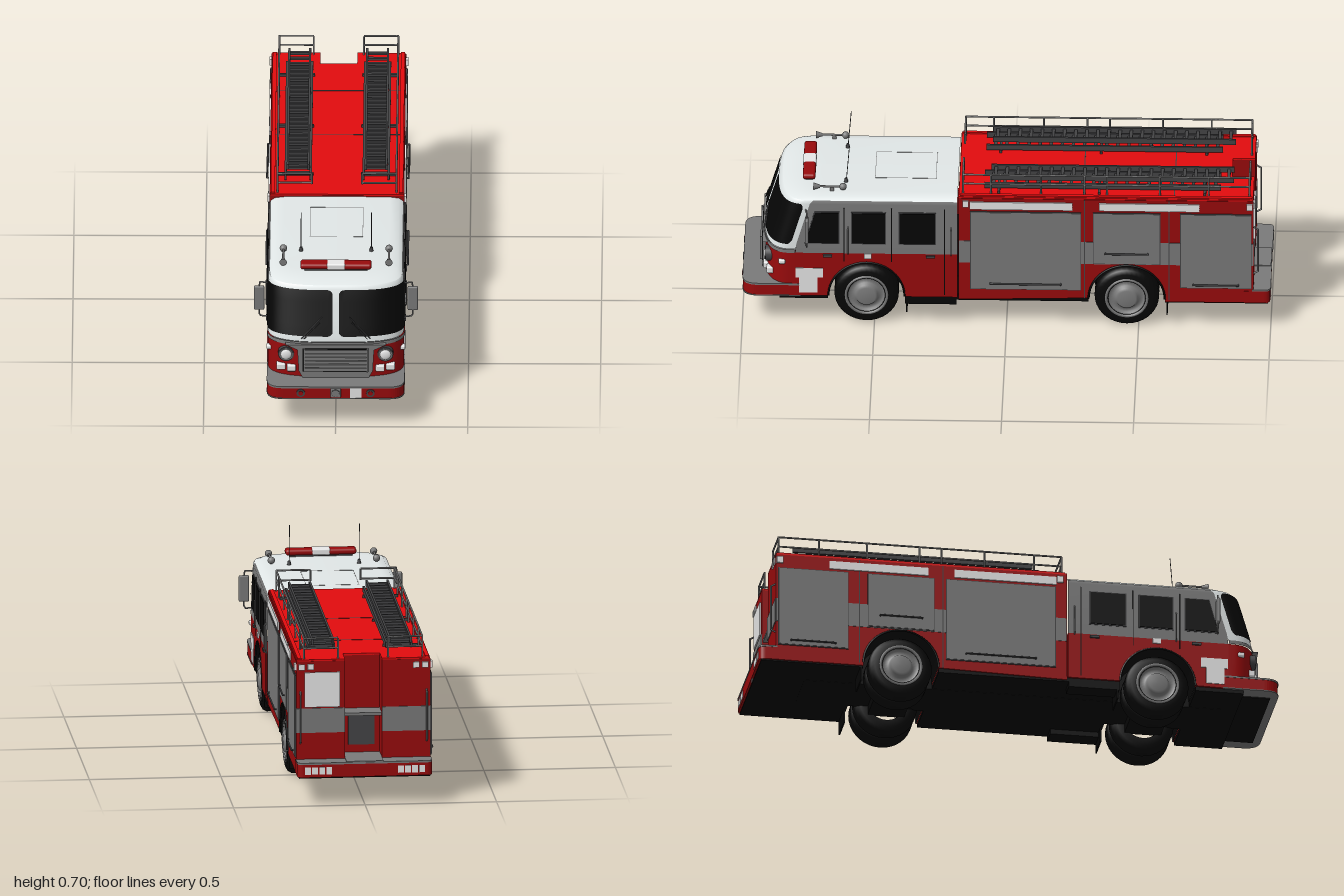
import * as THREE from 'three';
import { RoundedBoxGeometry } from 'three/addons/geometries/RoundedBoxGeometry.js';

const mat = (name, color) => Object.assign(new THREE.MeshStandardMaterial({ color }), { name });

export function createModel() {
  const root = new THREE.Group();
  const red = mat('fire red', 0x980a0c), roofRed = mat('bright roof red', 0xe20c0e), white = mat('white', 0xe8eeee);
  const grey = mat('metal grey', 0x7a7a7a), dark = mat('dark grey', 0x444446), black = mat('black', 0x060606);
  const lamp = mat('lamp white', 0xf0f0f0), well = mat('wheel well black', 0x070707);
  well.side = THREE.DoubleSide;

  // ---- helpers ----
  const add = (name, geo, m, x = 0, y = 0, z = 0) => {
    const mesh = new THREE.Mesh(geo, m);
    mesh.name = name;
    mesh.position.set(x, y, z);
    root.add(mesh);
    return mesh;
  };
  // box given by its limits
  const box = (name, m, x0, x1, y0, y1, z0, z1) => add(name,
    new THREE.BoxGeometry(Math.abs(x1 - x0), y1 - y0, Math.abs(z1 - z0)), m, (x0 + x1) / 2, (y0 + y1) / 2, (z0 + z1) / 2);
  // straight rods joined by balls
  const tube = (name, m, r, pts) => {
    const v = pts.map(p => new THREE.Vector3(...p));
    for (let i = 1; i < v.length; i++) {
      add(name, new THREE.TubeGeometry(new THREE.LineCurve3(v[i - 1], v[i]), 1, r, 8), m);
      if (i < v.length - 1) add(name + 'Joint', new THREE.SphereGeometry(r, 8, 6), m, ...pts[i]);
    }
  };
  const disc = (name, m, r, d, x, y, z) =>
    add(name, new THREE.CylinderGeometry(r, r, d, 24).rotateX(Math.PI / 2), m, x, y, z);
  const lin = (a, b, n) => Array.from({ length: n + 1 }, (_, i) => a + (b - a) * i / n);
  // grid surface through f(u, v)
  const patch = (name, m, us, vs, f) => {
    const pos = [], idx = [], n = us.length;
    vs.forEach((v, j) => us.forEach((u, i) => {
      pos.push(...f(u, v));
      if (i && j) {
        const d = j * n + i, c = d - 1, b = d - n, a = b - 1;
        idx.push(a, b, d, a, d, c);
      }
    }));
    const g = new THREE.BufferGeometry();
    g.setAttribute('position', new THREE.Float32BufferAttribute(pos, 3));
    g.setIndex(idx);
    g.computeVertexNormals();
    return add(name, g, m);
  };
  // side outline in (z, y) with a wheel arch, extruded across x
  const sidePanel = (name, m, x0, x1, z0, z1, y0, y1, arch) => {
    const s = new THREE.Shape();
    s.moveTo(z0, y0);
    s.lineTo(arch - 0.145, y0);
    s.absarc(arch, 0.122, 0.145, Math.PI, 0, true);
    s.lineTo(z1, y0); s.lineTo(z1, y1); s.lineTo(z0, y1);
    const g = new THREE.ExtrudeGeometry(s, { depth: x1 - x0, bevelEnabled: false, curveSegments: 24 });
    add(name, g.rotateY(-Math.PI / 2), m, x1);
  };

  // ---- cab shell: rows of height, front z, half width ----
  const rows = [[0.12, 0.92, 0.258], [0.31, 0.92, 0.258], [0.345, 0.915, 0.258], [0.515, 0.865, 0.256],
    [0.528, 0.852, 0.251], [0.54, 0.82, 0.235], [0.545, 0.77, 0.2], [0.547, 0.7, 0]];
  const cab = (off = 0) => (u, y) => {
    let k = 1;
    while (k < rows.length - 1 && y > rows[k][0]) k++;
    const [a, b] = [rows[k - 1], rows[k]], t = (y - a[0]) / (b[0] - a[0]);
    const zf = a[1] + (b[1] - a[1]) * t, hw = a[2] + (b[2] - a[2]) * t, s = Math.min(Math.abs(u), 1);
    const th = s * Math.PI / 2, c = Math.max(Math.cos(th), 0);
    const x = Math.sign(u) * ((hw + off) * Math.pow(Math.sin(th), 2 / 3));
    return [x, y, Math.abs(u) > 1 ? 0.185 : zf + off - 0.12 * (1 - Math.pow(c, 2 / 3))];
  };
  const frontZ = x => 0.92 - 0.12 * (1 - Math.cbrt(1 - Math.pow(Math.abs(x) / 0.258, 3)));
  const spread = (a, b, n) => lin(a, b, n).map(t => Math.sign(t) * Math.pow(Math.abs(t), 1.5));
  const round = spread(-1, 1, 48);
  patch('cabLowerFront', red, round, [0.12, 0.305], cab());
  patch('cabTrimBand', grey, round, [0.305, 0.32], cab(0.003));
  patch('cabUpperFront', white, round, [0.32, 0.345, 0.4, 0.46, 0.515, 0.528], cab());
  patch('cabRoof', white, [-2, ...round, 2], rows.slice(4).map(r => r[0]), cab());
  // roof hatch outline
  for (const s of [-1, 1]) {
    box('hatchSeam', grey, s * 0.1 - 0.001, s * 0.1 + 0.001, 0.54, 0.5468, 0.27, 0.5);
    box('hatchSeam', grey, -0.1, 0.1, 0.54, 0.5472, 0.384 + s * 0.115, 0.386 + s * 0.115);
  }

  for (const s of [-1, 1]) {
    // sides of the cab
    patch('cabUpperSide', grey, s > 0 ? [1, 2] : [-2, -1], [0.305, 0.345, 0.515, 0.528], cab());
    sidePanel('cabLowerSide', red, s > 0 ? 0.238 : -0.258, s > 0 ? 0.258 : -0.238, 0.185, 0.8, 0.12, 0.305, 0.53);
    // windscreen half with rounded corners
    const us = s > 0 ? spread(0.037, 0.975, 60) : spread(-0.975, -0.037, 60);
    patch('windscreen', black, us, lin(0, 1, 8), (u, v) => {
      const x = cab()(u, 0.43)[0], edge = Math.min(Math.abs(x) - 0.011, (0.963 - Math.abs(u)) * 0.35);
      const d = Math.max(0, 0.02 - Math.max(edge, 0)), inset = 0.02 - Math.sqrt(0.0004 - d * d);
      return cab(0.003)(u, 0.343 + inset + v * (0.173 - 2 * inset));
    });
    tube('wiper', dark, 0.0022, [[s * 0.13, 0.335, 0.918], [s * 0.05, 0.42, 0.903]]);
    tube('wiperArm', dark, 0.0018, [[s * 0.12, 0.335, 0.921], [s * 0.06, 0.4, 0.91]]);
    // side windows
    [[[0.635, 0.35], [0.76, 0.35], [0.725, 0.48], [0.635, 0.48]], [[0.46, 0.35], [0.585, 0.35], [0.585, 0.48], [0.46, 0.48]],
      [[0.27, 0.35], [0.405, 0.35], [0.405, 0.48], [0.27, 0.48]]].forEach(p => {
      for (const [m, grow, d] of [[dark, 1.06, 0.004], [black, 1, 0.007]]) {
        const cz = p.reduce((a, q) => a + q[0] / 4, 0);
        const sh = new THREE.Shape(p.map(q => new THREE.Vector2(cz + (q[0] - cz) * grow, 0.415 + (q[1] - 0.415) * grow)));
        const g = new THREE.ExtrudeGeometry(sh, { depth: d, bevelEnabled: false }).rotateY(-Math.PI / 2);
        add('sideWindow', g, m, s > 0 ? 0.256 + d : -0.256);
      }
    });
    // door seams, handles, patch and rails
    for (const z of [0.615, 0.435, 0.235]) box('doorSeam', black, s * 0.256, s * 0.2595, z < 0.3 ? 0.13 : 0.27, 0.5, z - 0.0015, z + 0.0015);
    for (const z of [0.66, 0.27]) box('doorHandle', dark, s * 0.258, s * 0.265, 0.29, 0.3, z, z + 0.035);
    box('doorPatch', lamp, s * 0.256, s * 0.261, 0.135, 0.2, 0.715, 0.785);
    box('doorPatch', lamp, s * 0.256, s * 0.261, 0.2, 0.24, 0.695, 0.798);
    box('sideMarker', lamp, s * 0.256, s * 0.263, 0.285, 0.305, 0.51, 0.54);
    for (const z of [0.21, 0.6]) tube('cabGrabRail', grey, 0.0025, [[s * 0.256, 0.42, z], [s * 0.266, 0.41, z], [s * 0.266, 0.31, z], [s * 0.256, 0.3, z]]);
    // mirror and its bracket
    add('mirror', new RoundedBoxGeometry(0.04, 0.102, 0.014, 3, 0.006), grey, s * 0.291, 0.422, 0.755);
    tube('mirrorBracket', grey, 0.003, [[s * 0.25, 0.49, 0.76], [s * 0.288, 0.49, 0.755], [s * 0.291, 0.47, 0.755],
      [s * 0.291, 0.355, 0.755], [s * 0.285, 0.345, 0.755], [s * 0.25, 0.345, 0.76]]);
    // headlamps and front lamps
    const hz = frontZ(0.19);
    disc('headlampRing', dark, 0.03, 0.024, s * 0.188, 0.265, hz);
    disc('headlampBezel', grey, 0.025, 0.028, s * 0.188, 0.265, hz);
    add('headlamp', new THREE.SphereGeometry(0.021, 20, 12).scale(1, 1, 0.35), lamp, s * 0.188, 0.265, hz + 0.013);
    for (const x of [0.168, 0.207]) add('frontLamp', new RoundedBoxGeometry(0.034, 0.026, 0.03, 2, 0.005), lamp, s * x, 0.207, frontZ(x));
    add('turnLamp', new RoundedBoxGeometry(0.026, 0.018, 0.026, 2, 0.006), lamp, s * 0.25, 0.265, 0.85);
    disc('fogLampRing', dark, 0.016, 0.012, s * 0.132, 0.145, 0.996);
    disc('fogLamp', red, 0.009, 0.015, s * 0.132, 0.145, 0.996);
    // roof horns and antennas
    tube('hornPipe', grey, 0.004, [[s * 0.2, 0.562, 0.72], [s * 0.2, 0.562, 0.62]]);
    add('hornBell', new THREE.SphereGeometry(0.014, 16, 10), grey, s * 0.2, 0.562, 0.62);
    add('hornMouth', new THREE.CylinderGeometry(0.014, 0.006, 0.025, 16).rotateX(Math.PI / 2), grey, s * 0.2, 0.562, 0.72);
    box('hornFoot', grey, s * 0.196, s * 0.204, 0.535, 0.56, 0.655, 0.67);
    tube('antenna', dark, 0.0014, [[s * 0.133, 0.54, 0.61], [s * 0.133, 0.704, 0.597]]);
    add('antennaBase', new THREE.CylinderGeometry(0.005, 0.008, 0.018, 12), dark, s * 0.133, 0.553, 0.61);
  }

  // ---- grille ----
  const surround = new THREE.Shape([[-0.122, 0.165], [0.122, 0.165], [0.14, 0.2], [0.145, 0.29], [0.19, 0.312], [-0.19, 0.312],
    [-0.145, 0.29], [-0.14, 0.2]].map(p => new THREE.Vector2(...p)));
  add('grilleSurround', new THREE.ExtrudeGeometry(surround, { depth: 0.026, bevelEnabled: false }), grey, 0, 0, 0.9);
  box('grilleRecess', black, -0.125, 0.125, 0.198, 0.297, 0.9, 0.929);
  for (let i = 0; i < 6; i++) box('grilleSlat', grey, -0.118, 0.118, 0.203 + i * 0.0155, 0.2155 + i * 0.0155, 0.92, 0.935);
  for (const s of [-1, 1]) box('grilleFrameSide', grey, s * 0.116, s * 0.122, 0.2, 0.297, 0.92, 0.936);

  // ---- bumpers ----
  const bumper = (name, m, zi, zo, r, top, h, hw) => {
    const d = Math.sign(zo), s = new THREE.Shape();
    s.moveTo(-hw, zi); s.lineTo(hw, zi); s.lineTo(hw, zo - d * r);
    s.quadraticCurveTo(hw, zo, hw - r, zo); s.lineTo(r - hw, zo);
    s.quadraticCurveTo(-hw, zo, -hw, zo - d * r);
    add(name, new THREE.ExtrudeGeometry(s, { depth: h, bevelEnabled: false }).rotateX(Math.PI / 2), m, 0, top);
  };
  bumper('frontBumper', red, 0.78, 0.998, 0.06, 0.166, 0.044, 0.2595);
  bumper('frontBumperTop', grey, 0.78, 1, 0.06, 0.172, 0.007, 0.261);
  bumper('frontBumperLip', grey, 0.78, 1, 0.06, 0.123, 0.004, 0.261);
  bumper('rearBumper', red, -0.9, -0.998, 0.025, 0.16, 0.05, 0.256);
  bumper('rearStep', grey, -0.93, -1, 0.025, 0.167, 0.007, 0.257);
  add('bumperSiren', new RoundedBoxGeometry(0.04, 0.04, 0.014, 2, 0.004), grey, 0, 0.145, 0.994);
  disc('sirenFace', dark, 0.0155, 0.009, 0, 0.145, 0.998);
  disc('sirenFace', grey, 0.014, 0.01, 0, 0.145, 0.999);
  box('bumperPlate', lamp, 0.055, 0.099, 0.125, 0.165, 0.995, 1);

  // ---- roof light bar ----
  add('lightBar', new RoundedBoxGeometry(0.27, 0.023, 0.048, 3, 0.01), red, 0, 0.563, 0.75);
  add('lightBarCentre', new RoundedBoxGeometry(0.07, 0.025, 0.05, 2, 0.006), lamp, 0, 0.5635, 0.75);
  box('lightBarBase', dark, -0.12, 0.12, 0.54, 0.555, 0.735, 0.765);

  // ---- equipment body ----
  sidePanel('equipmentBody', red, -0.255, 0.255, -0.85, 0.182, 0.11, 0.548, -0.455);
  box('bodyRoof', roofRed, -0.253, 0.253, 0.547, 0.554, -0.85, 0.181);
  for (const z of [-0.29, -0.635]) box('roofSeam', dark, -0.25, 0.25, 0.55, 0.555, z - 0.002, z + 0.002);
  for (const s of [-1, 1]) {
    const plate = (name, m, z0, z1, y0, y1, d) => box(name, m, s * 0.254, s * (0.255 + d), y0, y1, z0, z1);
    box('rearPillar', red, s * 0.07, s * 0.255, 0.11, 0.548, -0.935, -0.85);
    box('rearPillarRoof', roofRed, s * 0.07, s * 0.253, 0.547, 0.554, -0.934, -0.85);
    box('roofEdge', roofRed, s * 0.235, s * 0.25, 0.55, 0.559, -0.93, 0.175);
    plate('sideStripe', grey, -0.934, 0.18, 0.27, 0.365, 0.002);
    for (const [z0, z1, y0, y1, hy] of [[-0.28, 0.135, 0.16, 0.49, 0.185], [-0.58, -0.33, 0.275, 0.49, 0.32], [-0.925, -0.66, 0.175, 0.49, 0.19]]) {
      plate('shutterFrame', dark, z0 - 0.003, z1 + 0.003, y0 - 0.003, y1 + 0.003, 0.004);
      plate('shutter', grey, z0, z1, y0, y1, 0.006);
      const c = (z0 + z1) / 2, w = (z1 - z0) * 0.32;
      tube('shutterHandle', dark, 0.0035, [[s * 0.258, hy, c - w], [s * 0.268, hy, c - w], [s * 0.268, hy, c + w], [s * 0.258, hy, c + w]]);
    }
    plate('whitePanel', lamp, -0.25, 0.14, 0.502, 0.534, 0.005);
    plate('whitePanel', lamp, -0.73, -0.35, 0.502, 0.534, 0.005);
    for (const z of [0.155, -0.92]) plate('cornerLamp', lamp, z - 0.012, z + 0.012, 0.512, 0.538, 0.008);
    for (const z of [-0.295, -0.615]) plate('bodySeam', dark, z - 0.0015, z + 0.0015, 0.12, 0.547, 0.003);
    // rear face
    box('rearStripe', grey, s * 0.071, s * 0.255, 0.27, 0.365, -0.938, -0.93);
    for (const x of [0.2, 0.235]) box('rearTopLamp', lamp, s * (x - 0.012), s * (x + 0.012), 0.515, 0.537, -0.941, -0.93);
    for (let i = 0; i < 4; i++) box('rearBumperLamp', lamp, s * (0.125 + i * 0.027), s * (0.147 + i * 0.027), 0.122, 0.15, -1, -0.99);
    tube('rearGrabRail', grey, 0.0035, [[s * 0.24, 0.43, -0.935], [s * 0.24, 0.42, -0.952], [s * 0.24, 0.24, -0.952], [s * 0.24, 0.23, -0.935]]);
  }
  box('rearWhitePanel', lamp, 0.09, 0.225, 0.37, 0.505, -0.941, -0.93);
  box('rearChannelShelf', grey, -0.07, 0.07, 0.33, 0.342, -0.93, -0.84);
  box('rearChannelCavity', dark, -0.05, 0.05, 0.2, 0.33, -0.855, -0.845);
  box('rearChannelFloor', grey, -0.07, 0.07, 0.11, 0.17, -0.997, -0.84);

  // ---- roof railings and ladders ----
  for (const s of [-1, 1]) {
    for (const y of [0.595, 0.634]) tube('roofRail', grey, 0.0037, [[s * 0.095, y, 0.165], [s * 0.225, y, 0.165], [s * 0.225, y, -0.92], [s * 0.095, y, -0.92]]);
    for (const z of [0.165, 0.06, -0.13, -0.295, -0.38, -0.58, -0.765, -0.92]) tube('railPost', grey, 0.0037, [[s * 0.225, 0.55, z], [s * 0.225, 0.634, z]]);
    for (const z of [0.165, -0.92]) tube('railEndPost', grey, 0.0037, [[s * 0.095, z < 0 ? 0.55 : 0.59, z], [s * 0.095, 0.634, z]]);
    for (const [xa, xb, y, z0, z1] of [[0.1, 0.195, 0.563, -0.81, 0.085], [0.108, 0.187, 0.593, -0.86, 0.06]]) {
      for (const x of [xa, xb]) box('ladderRail', dark, s * (x - 0.004), s * (x + 0.004), y, y + 0.022, z0, z1);
      for (let z = z0 + 0.02; z < z1; z += 0.042) box('ladderRung', dark, s * xa, s * xb, y + 0.006, y + 0.015, z - 0.006, z + 0.006);
    }
    for (const z of [0.03, -0.35, -0.75]) box('ladderBracket', dark, s * 0.09, s * 0.225, 0.55, 0.564, z - 0.005, z + 0.005);
  }

  // ---- underside ----
  for (const [z0, z1] of [[0.676, 0.86], [-0.31, 0.384], [-0.99, -0.6]]) box('floor', black, -0.25, 0.25, 0.105, 0.125, z0, z1);
  box('frontFloor', black, -0.2, 0.2, 0.115, 0.13, 0.8, 0.97);
  box('chassis', black, -0.1, 0.1, 0.104, 0.28, -0.8, 0.8);
  for (const z of [0.53, -0.455]) box('axleHousing', black, -0.1, 0.1, 0.07, 0.15, z - 0.07, z + 0.07);
  for (const s of [-1, 1]) {
    box('cabStep', black, s * 0.18, s * 0.25, 0.085, 0.125, 0.19, 0.385);
    for (const z of [0.38, -0.605]) box('mudFlap', black, s * 0.14, s * 0.25, 0.05, 0.15, z - 0.005, z);
  }

  // ---- wheels ----
  const tyre = w => new THREE.LatheGeometry([[0.07, 0], [0.1, 0], [0.114, 0.008], [0.122, 0.022], [0.122, w - 0.022], [0.114, w - 0.008],
    [0.1, w], [0.07, w]].map(p => new THREE.Vector2(...p)), 36);
  const rim = new THREE.LatheGeometry([[0.084, -0.004], [0.082, 0.006], [0.074, 0.006], [0.066, -0.012], [0.048, -0.008], [0.042, 0.004],
    [0.034, 0.012], [0, 0.012]].map(p => new THREE.Vector2(...p)), 32);
  for (const s of [-1, 1]) for (const z of [0.53, -0.455]) {
    const put = (name, g, m, x) => { add(name, g, m, s * x, 0.122, z).rotation.z = -s * Math.PI / 2; };
    put('tyre', tyre(0.085), black, 0.166);
    put('innerTyre', tyre(0.075), black, 0.09);
    put('wheelRim', rim, grey, 0.249);
    add('wheelWell', new THREE.CylinderGeometry(0.1435, 0.1435, 0.165, 32, 1, true, 0, Math.PI).rotateZ(Math.PI / 2), well, s * 0.1745, 0.122, z);
    add('wheelArchTrim', new THREE.TorusGeometry(0.144, 0.004, 6, 32, Math.PI).rotateY(Math.PI / 2), black, s * 0.257, 0.122, z);
    box('wheelWellWall', black, s * 0.085, s * 0.1, 0.11, 0.26, z - 0.14, z + 0.14);
  }
  return root;
}
